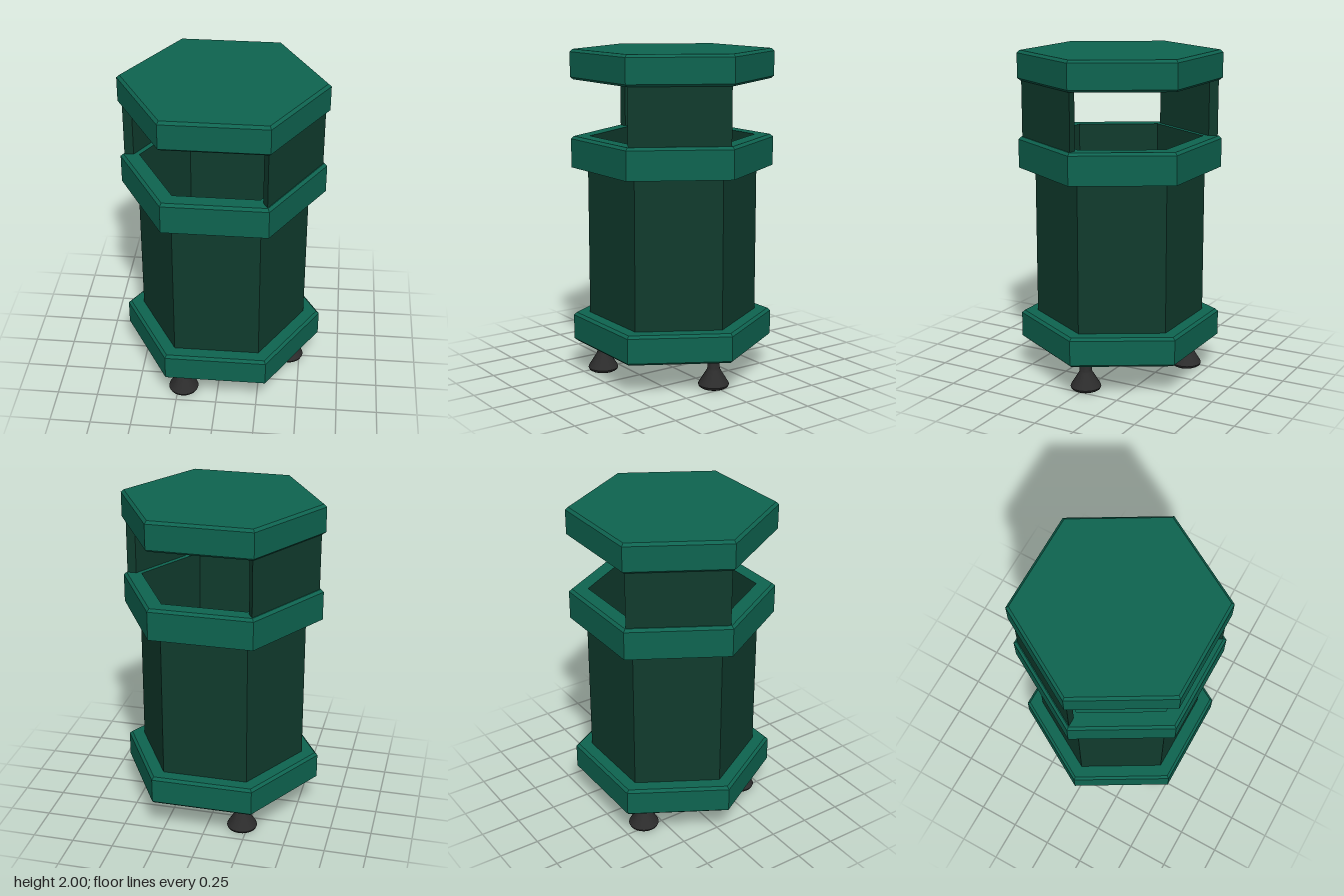
import * as THREE from 'three';
import { toCreasedNormals } from 'three/addons/utils/BufferGeometryUtils.js';

const green = new THREE.MeshStandardMaterial({ color: 0x0e6450 });
green.name = 'trim green';
const darkGreen = new THREE.MeshStandardMaterial({ color: 0x103b2d });
darkGreen.name = 'dark body green';
const black = new THREE.MeshStandardMaterial({ color: 0x2d2d2d });
black.name = 'rubber black';

const R = 0.614, BEVEL = 0.018;

// Flat-sided six-cornered solid from a [radius, height] profile, corners on the x axis
function hexGeometry(profile) {
  const points = profile.map(([r, y]) => new THREE.Vector2(r, y));
  const geometry = new THREE.LatheGeometry(points, 6, Math.PI / 2).toNonIndexed();
  geometry.computeVertexNormals();
  return geometry;
}

function part(name, geometry, material) {
  const mesh = new THREE.Mesh(geometry, material);
  mesh.name = name;
  return mesh;
}

// Hexagonal slab with bevelled upper and lower rims
function slab(y0, y1) {
  return hexGeometry([
    [0, y0], [R - BEVEL, y0], [R, y0 + 0.014],
    [R, y1 - 0.016], [R - BEVEL, y1], [0, y1],
  ]);
}

export function createModel() {
  const model = new THREE.Group();
  model.name = 'litterBin';

  model.add(part('base', slab(0.2, 0.38), green));
  model.add(part('lid', slab(1.82, 2), green));

  // Hollow body
  model.add(part('body', hexGeometry([
    [0.5, 0.38], [0.514, 0.38], [0.514, 1.3], [0.5, 1.3], [0.5, 0.38],
  ]), darkGreen));

  // Open collar around the mouth of the body
  model.add(part('collar', hexGeometry([
    [0.5, 1.29], [R, 1.29], [R, 1.464], [R - BEVEL, 1.48], [0.5, 1.48],
  ]), green));
  model.add(part('collarLining', hexGeometry([[0.5, 1.48], [0.5, 1.29]]), darkGreen));

  // Two opposite mitred panels carry the lid
  const outer = 0.59, inner = 0.535, c = 0.5, s = Math.sqrt(3) / 2;
  const outline = new THREE.Shape([
    new THREE.Vector2(inner, 0),
    new THREE.Vector2(inner * c, -inner * s),
    new THREE.Vector2(outer * c, -outer * s),
    new THREE.Vector2(outer, 0),
  ]);
  const panel = new THREE.ExtrudeGeometry(outline, { depth: 0.34, bevelEnabled: false });
  panel.rotateX(-Math.PI / 2);
  for (const [name, turn] of [['frontPanel', 0], ['backPanel', Math.PI]]) {
    const mesh = part(name, panel, darkGreen);
    mesh.position.y = 1.48;
    mesh.rotation.y = turn;
    model.add(mesh);
  }

  // Three flared feet
  const footProfile = [
    [0, 0], [0.075, 0], [0.088, 0.008], [0.093, 0.02], [0.088, 0.032],
    [0.04, 0.11], [0.037, 0.122], [0.037, 0.205],
  ].map(([r, y]) => new THREE.Vector2(r, y));
  const foot = toCreasedNormals(new THREE.LatheGeometry(footProfile, 24), 0.7);
  for (const [x, z] of [[0.43, 0], [-0.215, 0.38], [-0.215, -0.36]]) {
    const mesh = part('foot', foot, black);
    mesh.position.set(x, 0.005, z);
    model.add(mesh);
  }
  return model;
}
